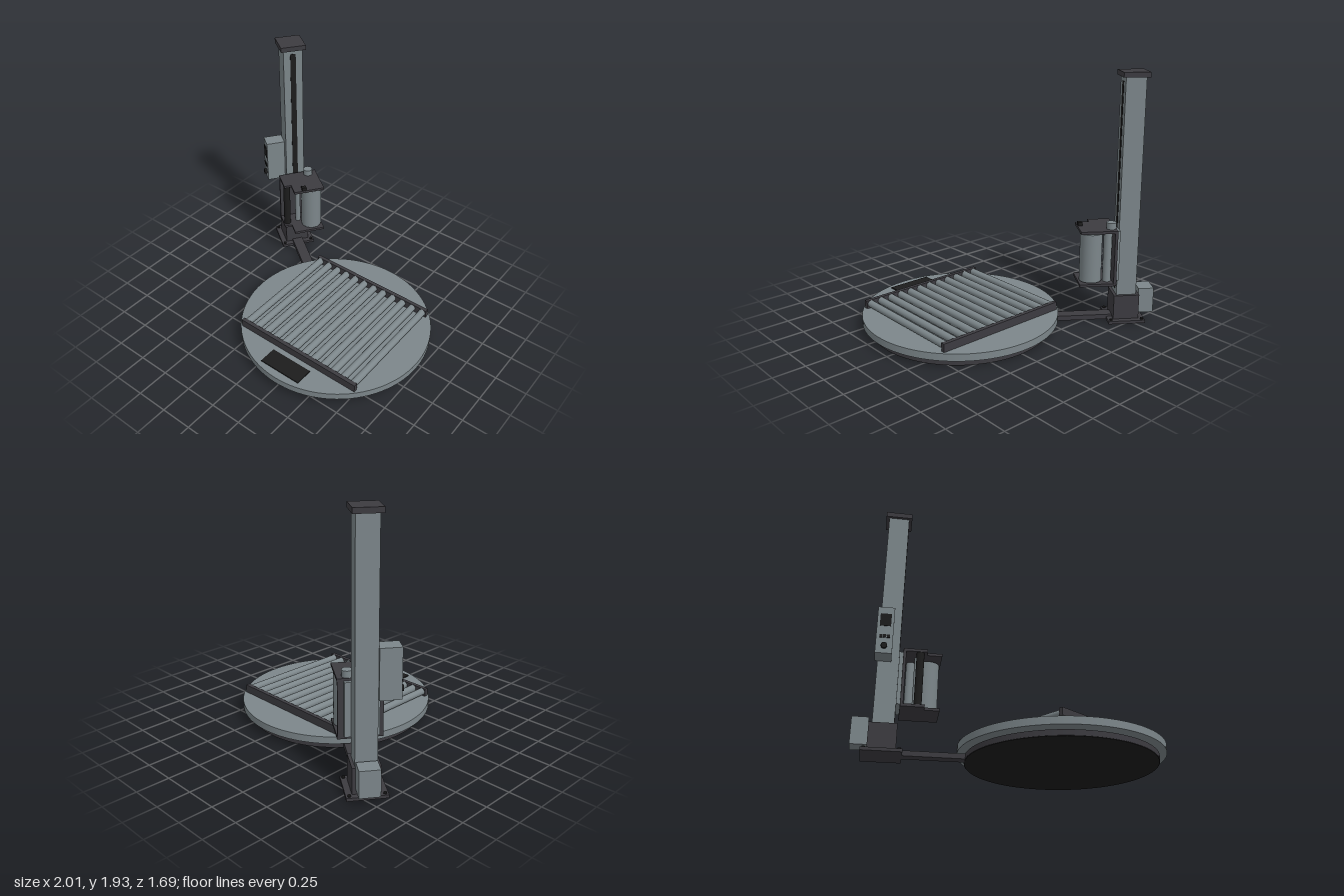
import * as THREE from 'three';

const mat = (name, color) => Object.assign(new THREE.MeshStandardMaterial({ color }), { name });

export function createModel() {
  const gray = mat('steel gray', 0x7c868a);
  const dark = mat('charcoal', 0x3c3b40);
  const black = mat('black', 0x1c1c1c);

  const root = new THREE.Group();
  root.name = 'turntableWrapper';

  const add = (parent, name, geo, material, x, y, z) => {
    const m = new THREE.Mesh(geo, material);
    m.name = name;
    m.position.set(x, y, z);
    parent.add(m);
    return m;
  };
  // box given by its min and max on each axis
  const box = (parent, name, material, [x0, x1], [y0, y1], [z0, z1]) =>
    add(parent, name, new THREE.BoxGeometry(x1 - x0, y1 - y0, z1 - z0), material,
      (x0 + x1) / 2, (y0 + y1) / 2, (z0 + z1) / 2);
  // upright cylinder from y0 to y1
  const post = (parent, name, material, r, x, z, y0, y1, sides = 32) =>
    add(parent, name, new THREE.CylinderGeometry(r, r, y1 - y0, sides), material, x, (y0 + y1) / 2, z);

  // Turntable
  const table = new THREE.Group();
  table.name = 'turntable';
  table.position.set(0.25, 0, 0.097);
  root.add(table);
  post(table, 'basePad', black, 0.694, 0, 0, 0, 0.004, 96);
  post(table, 'baseDisc', dark, 0.697, 0, 0, 0.003, 0.043, 96);
  post(table, 'hub', dark, 0.12, 0, 0, 0.043, 0.06);
  post(table, 'rotatingDisc', gray, 0.75, 0, 0, 0.06, 0.115, 96);

  // Roller bed on the disc
  const bed = new THREE.Group();
  bed.name = 'rollerBed';
  root.add(bed);
  for (const [z0, z1] of [[-0.398, -0.367], [0.567, 0.598]])
    box(bed, 'sideRail', dark, [-0.295, 0.793], [0.115, 0.178], [z0, z1]);
  for (let i = 0; i < 12; i++) {
    const x = 0.2485 + (i - 5.5) * 0.0928;
    const roller = add(bed, 'roller', new THREE.CylinderGeometry(0.028, 0.028, 0.934, 20), gray, x, 0.149, 0.1);
    roller.rotation.x = Math.PI / 2;
  }
  box(root, 'footPlate', black, [0.068, 0.422], [0.115, 0.123], [0.645, 0.787]);

  // Mast unit: its local +x points at the turntable
  const tower = new THREE.Group();
  tower.name = 'tower';
  tower.position.set(-0.786, 0, -0.647);
  tower.rotation.y = -0.62;
  root.add(tower);

  box(tower, 'linkArm', dark, [0.1, 0.62], [0.002, 0.04], [-0.045, 0.045]);
  box(tower, 'basePlate', dark, [-0.143, 0.143], [0, 0.023], [-0.143, 0.143]);
  for (const x of [-0.12, 0.12])
    for (const z of [-0.12, 0.12])
      post(tower, 'anchorBolt', black, 0.012, x, z, 0.023, 0.034, 12);
  box(tower, 'baseHousing', dark, [-0.099, 0.099], [0.02, 0.215], [-0.099, 0.099]);
  box(tower, 'driveBox', gray, [-0.218, -0.099], [0.06, 0.258], [-0.074, 0.072]);
  box(tower, 'mast', gray, [-0.0765, 0.0765], [0.215, 1.89], [-0.0765, 0.0765]);
  box(tower, 'mastSlot', black, [0.0765, 0.079], [0.25, 1.857], [-0.022, 0.022]);
  box(tower, 'mastCap', dark, [-0.099, 0.099], [1.89, 1.928], [-0.099, 0.099]);

  // Control cabinet with its panel on the +z face
  const cabinet = new THREE.Group();
  cabinet.name = 'controlCabinet';
  tower.add(cabinet);
  box(cabinet, 'cabinetBody', gray, [-0.097, 0.022], [0.68, 1.038], [0.0765, 0.226]);
  box(cabinet, 'screen', black, [-0.077, 0.002], [0.89, 0.985], [0.226, 0.23]);
  for (const x of [-0.063, -0.037, -0.011])
    box(cabinet, 'button', black, [x - 0.011, x + 0.011], [0.798, 0.822], [0.226, 0.232]);
  const knob = add(cabinet, 'knob', new THREE.CylinderGeometry(0.022, 0.022, 0.02, 20), black, -0.037, 0.735, 0.236);
  knob.rotation.x = Math.PI / 2;

  // Film carriage
  const carriage = new THREE.Group();
  carriage.name = 'filmCarriage';
  tower.add(carriage);
  box(carriage, 'slideBlock', gray, [0.0765, 0.105], [0.35, 0.745], [-0.12, 0.12]);
  box(carriage, 'backPlate', dark, [0.104, 0.125], [0.328, 0.76], [-0.162, 0.15]);

  // L-shaped end plates
  const outline = [[0.104, -0.165], [0.384, -0.165], [0.384, 0.09], [0.275, 0.09], [0.275, 0.15], [0.104, 0.15]];
  const plateGeo = new THREE.ExtrudeGeometry(
    new THREE.Shape(outline.map(([x, z]) => new THREE.Vector2(x, -z))), { depth: 0.02, bevelEnabled: false });
  plateGeo.rotateX(-Math.PI / 2);
  add(carriage, 'bottomPlate', plateGeo, dark, 0, 0.325, 0);
  add(carriage, 'topPlate', plateGeo, dark, 0, 0.743, 0);

  // Rollers and film roll
  post(carriage, 'filmRoll', gray, 0.084, 0.29, -0.078, 0.355, 0.733, 40);
  post(carriage, 'filmCore', dark, 0.03, 0.29, -0.078, 0.34, 0.75, 24);
  post(carriage, 'rubberRoller', black, 0.028, 0.226, 0.118, 0.34, 0.75, 24);
  post(carriage, 'guideRoller', gray, 0.022, 0.21, 0.02, 0.34, 0.75, 24);
  post(carriage, 'stretchRoller', gray, 0.032, 0.165, -0.09, 0.34, 0.75, 24);
  post(carriage, 'driveMotor', gray, 0.037, 0.143, -0.092, 0.763, 0.812, 24);
  box(carriage, 'latch', black, [0.346, 0.38], [0.763, 0.79], [-0.014, 0.022]);

  return root;
}
